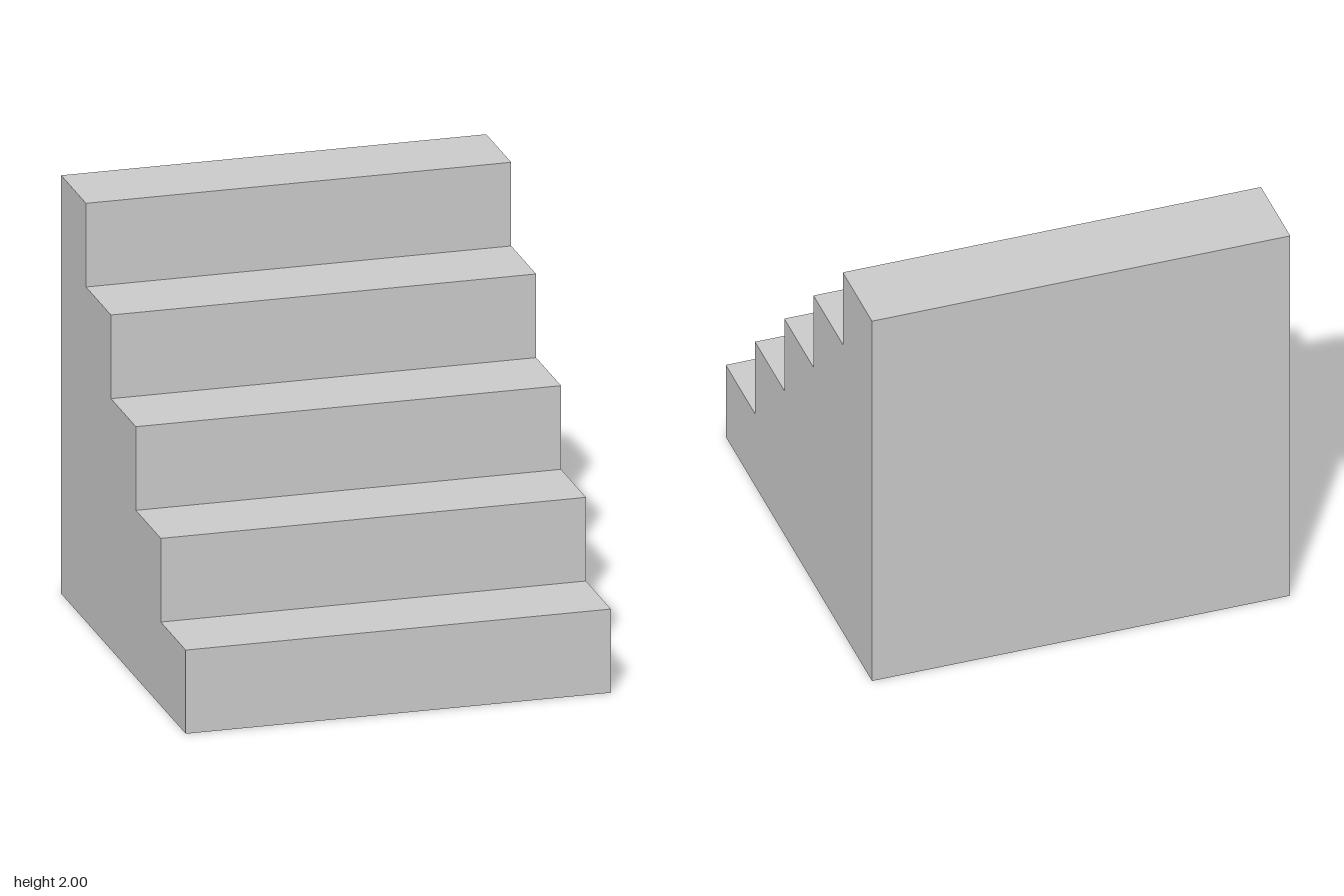
import * as THREE from 'three';

const STEPS = 5;
const SIZE = 2; // width, height and depth
const STEP = SIZE / STEPS; // rise and run of each step

export function createModel() {
  const group = new THREE.Group();
  group.name = 'staircase';

  // Side profile: runs from the front (-1) to the back (+1), climbing step by step
  const profile = new THREE.Shape();
  profile.moveTo(SIZE / 2, 0);
  profile.lineTo(-SIZE / 2, 0);
  for (let i = 0; i < STEPS; i++) {
    const front = -SIZE / 2 + i * STEP;
    const top = (i + 1) * STEP;
    profile.lineTo(front, top); // riser
    profile.lineTo(front + STEP, top); // tread
  }
  profile.closePath();

  // Solid flight of stairs, extruded across the width and turned to face +z
  const geometry = new THREE.ExtrudeGeometry(profile, { depth: SIZE, bevelEnabled: false });
  geometry.translate(0, 0, -SIZE / 2);
  geometry.rotateY(Math.PI / 2);

  const material = new THREE.MeshStandardMaterial({ color: 0xcccccc, flatShading: true });
  const stairs = new THREE.Mesh(geometry, material);
  stairs.name = 'stairs';
  group.add(stairs);

  return group;
}
